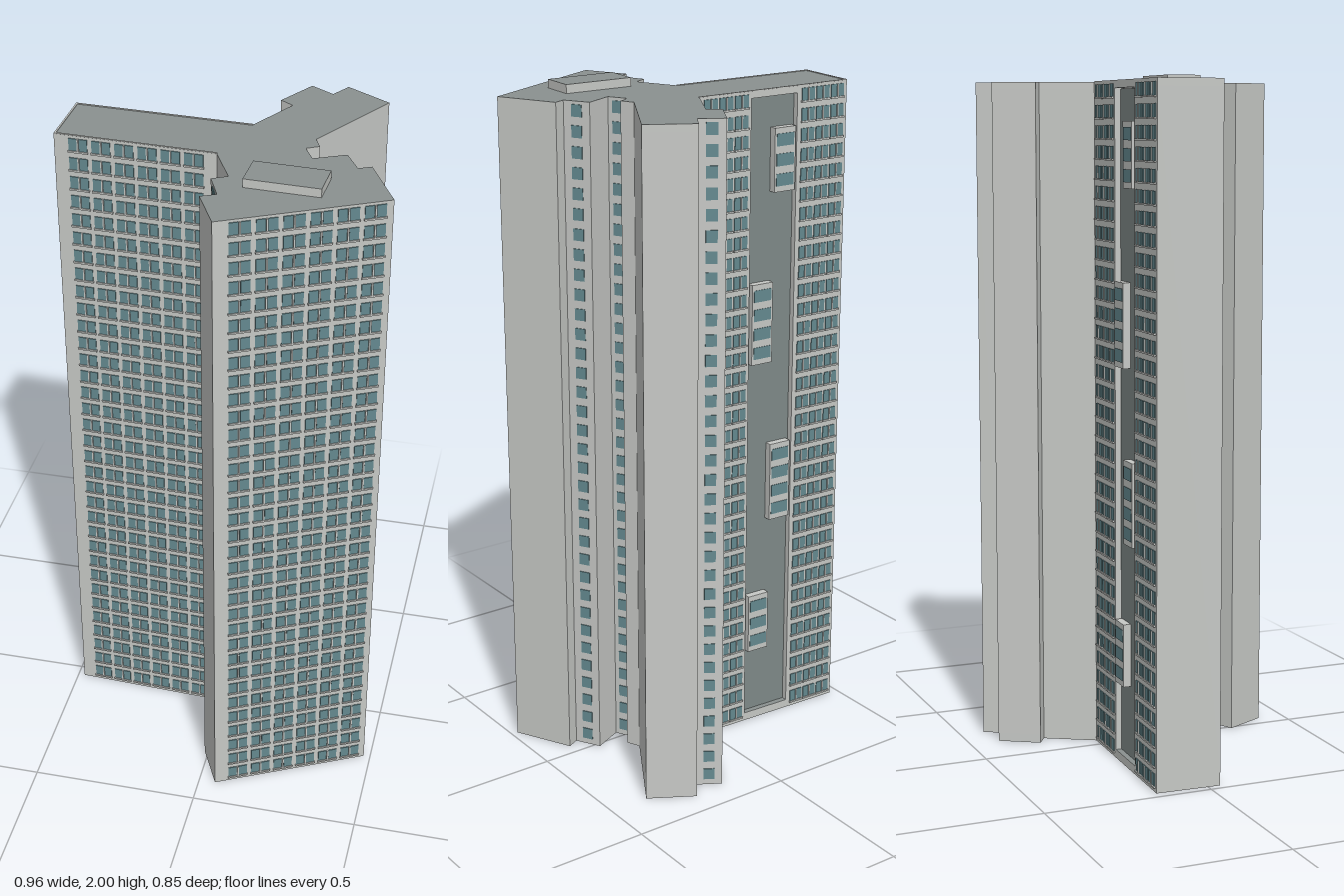
import * as THREE from 'three';
import { mergeGeometries } from 'three/addons/utils/BufferGeometryUtils.js';

const HEIGHT = 1.975, FLOORS = 34, PITCH = 0.058, FIRST = 0.035;

// three-winged plan as [x, z]; each wall runs left to right seen from outside
const PLAN = [
  [-0.48, 0.037], [-0.02, 0.057], [0.037, 0.173], [-0.005, 0.195], [0.03, 0.275], [-0.012, 0.295],
  [0.05, 0.42], [0.48, 0.205], [0.395, 0.038], [0.36, 0.055], [0.32, -0.015], [0.233, 0.026],
  [0.205, -0.027], [0.24, -0.046], [0.222, -0.085], [0.38, -0.35], [0.252, -0.425], [0.217, -0.37],
  [0.15, -0.41], [0.082, -0.3], [0.12, -0.275], [0.038, -0.135], [-0.472, -0.156],
];
const BACK = 21;                                     // long rear wall of the side wing
const RECESS = { from: 0.175, to: 0.335, depth: 0.02 };

export function createModel() {
  const model = new THREE.Group();
  model.name = 'apartmentTower';
  const mat = (name, color) => {
    const m = new THREE.MeshStandardMaterial({ color });
    m.name = name;
    return m;
  };
  const wall = mat('paleConcrete', 0xc6c8c5);
  const roof = mat('greyRoof', 0x8a9190);
  const glass = mat('tealGlass', 0x64898f);
  const panel = mat('darkPanel', 0x7f8988);

  const add = (parent, geometry, material, name) => {
    const m = new THREE.Mesh(geometry, material);
    m.name = name;
    parent.add(m);
    return m;
  };
  const box = (x, y, z, w, h, d) => new THREE.BoxGeometry(w, h, d).translate(x, y, z);
  const prism = (points, y0, y1) => {
    const shape = new THREE.Shape(points.map(([x, z]) => new THREE.Vector2(x, -z)));
    return new THREE.ExtrudeGeometry(shape, { depth: y1 - y0, bevelEnabled: false })
      .rotateX(-Math.PI / 2).translate(0, y0, 0);
  };
  // group lying on a wall: x along it, y up, z outward
  const wallGroup = (i, name) => {
    const [ax, az] = PLAN[i], [bx, bz] = PLAN[(i + 1) % PLAN.length];
    const g = new THREE.Group();
    g.name = name;
    g.position.set(ax, 0, az);
    g.rotation.y = Math.atan2(az - bz, bx - ax);
    g.userData.length = Math.hypot(bx - ax, bz - az);
    model.add(g);
    return g;
  };

  // body with the rear recess, closed by full slabs at foot and top
  const [ax, az] = PLAN[BACK], [bx, bz] = PLAN[BACK + 1];
  const len = Math.hypot(bx - ax, bz - az), ux = (bx - ax) / len, uz = (bz - az) / len;
  const onBack = (t, d) => [ax + ux * t + uz * d, az + uz * t - ux * d];
  const body = [
    ...PLAN.slice(0, BACK + 1),
    onBack(RECESS.from, 0), onBack(RECESS.from, RECESS.depth),
    onBack(RECESS.to, RECESS.depth), onBack(RECESS.to, 0),
    ...PLAN.slice(BACK + 1),
  ];
  add(model, prism(body, 0.025, HEIGHT - 0.02), wall, 'towerBody');
  add(model, prism(PLAN, 0, 0.025), [roof, wall], 'baseSlab');
  add(model, prism(PLAN, HEIGHT - 0.02, HEIGHT), [roof, wall], 'roofSlab');

  // plant room on the roof
  add(model, prism([[0.086, 0.225], [0.296, 0.235], [0.302, 0.13], [0.092, 0.12]], HEIGHT, 2),
    [roof, wall], 'roofPlantRoom');

  // paired windows with projecting sills and a centre fin
  const addPairs = (group, start, pairs, pitch, pane, gap) => {
    const panes = [], trim = [];
    for (let f = 0; f < FLOORS; f++) {
      const y = FIRST + f * PITCH;
      for (let p = 0; p < pairs; p++) {
        const left = start + p * pitch, mid = left + pane + gap / 2;
        for (const s of [-1, 1])
          panes.push(box(mid + s * (pane + gap) / 2, y, 0.001, pane, 0.036, 0.003));
        trim.push(box(mid, y - 0.0205, 0.0025, 2 * pane + gap + 0.004, 0.005, 0.007));
        trim.push(box(mid, y, 0.0025, gap * 0.7, 0.036, 0.006));
      }
    }
    add(group, mergeGeometries(panes), glass, 'windowPanes');
    add(group, mergeGeometries(trim), wall, 'windowSills');
  };
  addPairs(wallGroup(0, 'sideWingFrontWindows'), 0.042, 6, 0.0655, 0.0235, 0.006);
  addPairs(wallGroup(6, 'frontWingWindows'), 0.043, 6, 0.072, 0.0255, 0.007);
  const back = wallGroup(BACK, 'sideWingBackWindows');
  addPairs(back, 0.015, 3, 0.052, 0.02, 0.005);
  addPairs(back, 0.35, 3, 0.052, 0.02, 0.005);

  // single window columns in the stepped corners
  for (const i of [3, 9, 11, 17]) {
    const g = wallGroup(i, 'cornerWindows');
    const panes = [];
    for (let f = 0; f < FLOORS; f++)
      panes.push(box(g.userData.length / 2, FIRST + f * PITCH, 0.001, 0.032, 0.034, 0.003));
    add(g, mergeGeometries(panes), glass, 'cornerWindowPanes');
  }

  // dark recessed panel with four staggered bays
  const width = RECESS.to - RECESS.from, middle = (RECESS.from + RECESS.to) / 2;
  add(back, box(middle, HEIGHT / 2, -RECESS.depth + 0.001, width, HEIGHT - 0.045, 0.003), panel, 'recessPanel');
  [[1.77, 1, 3], [1.29, -1, 4], [0.785, 1, 4], [0.33, -1, 3]].forEach(([y, side, floors]) => {
    const bay = new THREE.Group();
    bay.name = 'projectingBay';
    bay.position.set(middle + side * 0.036, y, 0);
    back.add(bay);
    add(bay, box(0, 0, -0.0075, 0.072, floors * PITCH + 0.012, 0.025), wall, 'bayFrame');
    const panes = [];
    for (let f = 0; f < floors; f++)
      panes.push(box(0, (f - (floors - 1) / 2) * PITCH, 0.005, 0.06, 0.036, 0.003));
    add(bay, mergeGeometries(panes), glass, 'bayWindows');
  });

  // slim pale coping around the side wing
  for (const i of [0, BACK, BACK + 1]) {
    const g = wallGroup(i, 'sideWingCoping'), l = g.userData.length;
    add(g, box(l / 2, HEIGHT, -0.003, l, 0.004, 0.005), wall, 'coping');
  }
  return model;
}
